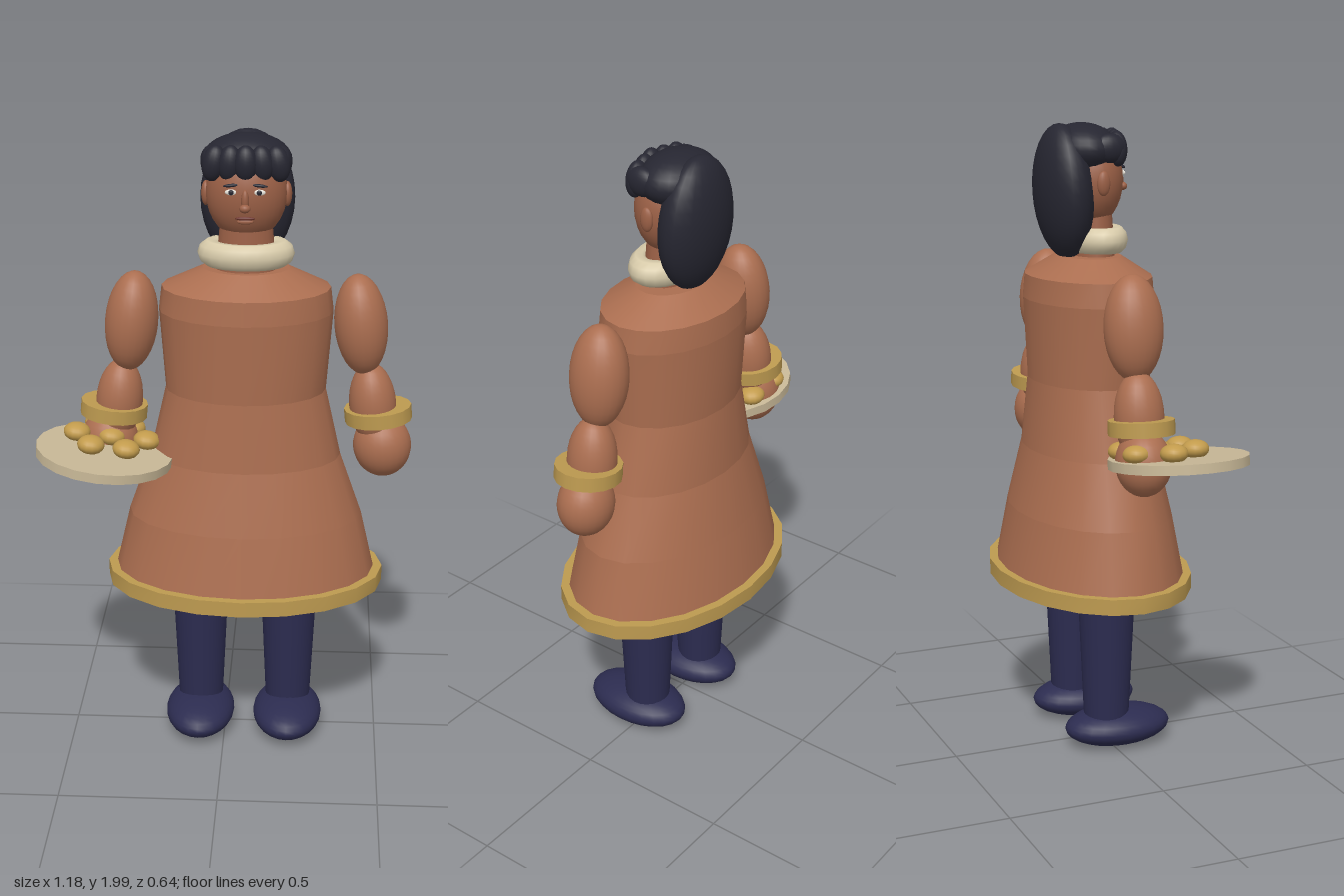
import * as THREE from 'three';

const mat = (name, color, side = THREE.FrontSide) => {
  const m = new THREE.MeshStandardMaterial({ color, side });
  m.name = name;
  return m;
};

export function createModel() {
  const clay = mat('clay brown', 0xab6e50);
  const skin = mat('face skin', 0x9b6046);
  const gold = mat('gold trim', 0xbd9a50);
  const navy = mat('navy cloth', 0x2c2c50);
  const black = mat('black hair', 0x262631);
  const cream = mat('cream collar', 0xd9ccab);
  const platter = mat('platter beige', 0xc8b897);
  const bun = mat('bun gold', 0xc29b4c);
  const white = mat('eye white', 0xe8e4da);
  const lip = mat('lip red', 0x6e342c);

  const CX = 0.063, CZ = -0.015;
  const model = new THREE.Group();
  model.name = 'figure';

  const add = (name, geo, material, pos, parent = model) => {
    const m = new THREE.Mesh(geo, material);
    m.name = name;
    m.position.set(...pos);
    parent.add(m);
    return m;
  };
  const ball = (name, material, pos, r, tilt = 0, parent = model, seg = 24) => {
    const m = add(name, new THREE.SphereGeometry(1, seg, 16), material, pos, parent);
    m.scale.set(...r);
    m.rotation.z = tilt;
    return m;
  };

  // Robe: oval bands, smooth around with a crease between them [y, rx, rz]
  const robe = new THREE.Group();
  robe.name = 'robe';
  robe.position.set(CX, 0, CZ);
  model.add(robe);
  const rings = [
    [0.545, 0.428, 0.287], [0.78, 0.373, 0.243], [0.98, 0.302, 0.2], [1.2, 0.252, 0.184],
    [1.455, 0.271, 0.196], [1.53, 0.262, 0.19], [1.59, 0.135, 0.1],
  ];
  const oval = (lo, hi, open) => {
    const g = new THREE.CylinderGeometry(1, 1, hi[0] - lo[0], 20, 1, open);
    const p = g.attributes.position;
    for (let i = 0; i < p.count; i++) {
      const r = p.getY(i) > 0 ? hi : lo;
      p.setXYZ(i, p.getX(i) * r[1], p.getY(i) + (lo[0] + hi[0]) / 2, p.getZ(i) * r[2]);
    }
    g.computeVertexNormals();
    return g;
  };
  for (let i = 0; i < rings.length - 1; i++) {
    const capped = i === 0 || i === rings.length - 2;
    add('robeBand' + (i + 1), oval(rings[i], rings[i + 1], !capped), clay, [0, 0, 0], robe);
  }
  // Hem trim, with a rim on top and a floor just above its lower edge
  add('hemTrim', oval([0.54, 0.446, 0.305], [0.59, 0.446, 0.305], true), gold, [0, 0, 0], robe);
  const rimShape = new THREE.Shape();
  const hole = new THREE.Path();
  for (let i = 0; i <= 20; i++) {
    const a = i / 20 * Math.PI * 2 + Math.PI / 2, s = Math.sin(a), c = Math.cos(a);
    rimShape[i ? 'lineTo' : 'moveTo'](c * 0.446, s * 0.305);
    hole[i ? 'lineTo' : 'moveTo'](c * 0.414, s * 0.274);
  }
  rimShape.holes.push(hole);
  add('hemTrimTop', new THREE.ShapeGeometry(rimShape), gold, [0, 0.59, 0], robe).rotation.x = -Math.PI / 2;
  add('robeFloor', oval([0.541, 0.444, 0.303], [0.546, 0.444, 0.303], false), clay, [0, 0, 0], robe);

  // Legs and shoes
  for (const s of [-1, 1]) {
    const side = s > 0 ? 'left' : 'right', x = CX + s * 0.145;
    add(side + 'Leg', new THREE.CylinderGeometry(0.094, 0.073, 0.46, 20), navy, [x, 0.34, -0.012]);
    ball(side + 'Shoe', navy, [x, 0.069, 0.027], [0.113, 0.062, 0.177]);
  }

  // Arms, hands and bracelets
  for (const s of [-1, 1]) {
    const arm = new THREE.Group();
    arm.name = s > 0 ? 'leftArm' : 'rightArm';
    arm.position.set(CX, 0, CZ);
    model.add(arm);
    ball('upperArm', clay, [s * 0.357, 1.41, 0], [0.083, 0.161, 0.092], s * 0.1, arm);
    ball('forearm', clay, [s * 0.4, 1.15, 0], [0.074, 0.135, 0.077], s * 0.1, arm);
    ball('hand', clay, [s * 0.434, 1.012, 0], [0.092, 0.102, 0.085], s * 0.1, arm);
    const b = add('bracelet', new THREE.CylinderGeometry(0.106, 0.106, 0.045, 16), gold, [s * 0.418, 1.12, 0], arm);
    b.scale.z = 0.95;
    b.rotation.z = s * 0.1;
  }

  // Tilted tray with a ring of buns around one in the middle
  const tray = new THREE.Group();
  tray.name = 'tray';
  tray.position.set(-0.376, 1.01, 0.1);
  tray.rotation.z = -0.115;
  model.add(tray);
  add('plate', new THREE.CylinderGeometry(0.216, 0.216, 0.03, 20), platter, [0, 0, 0], tray);
  for (let i = 0; i < 7; i++) {
    const r = i ? 0.111 : 0, a = i * Math.PI / 3;
    ball('bun' + (i + 1), bun, [0.014 + r * Math.cos(a), 0.037, -0.06 + r * Math.sin(a)],
      [0.043, 0.029, 0.043], 0, tray, 14);
  }

  // Neck and collar
  add('neck', new THREE.CylinderGeometry(0.08, 0.095, 0.17, 20), skin, [CX, 1.65, 0]).scale.z = 0.72;
  const collar = add('collar', new THREE.TorusGeometry(0.108, 0.041, 10, 24).rotateX(Math.PI / 2), cream, [CX, 1.641, 0.005]);
  collar.scale.z = 0.66;

  // Head
  const head = new THREE.Group();
  head.name = 'head';
  head.position.set(CX, 1.825, -0.008);
  model.add(head);
  ball('face', skin, [0, 0, 0], [0.124, 0.147, 0.1], 0, head, 32);
  const faceZ = (x, y) => 0.1 * Math.sqrt(1 - (x / 0.124) ** 2 - (y / 0.147) ** 2);
  ball('noseBridge', skin, [0, -0.005, 0.1], [0.012, 0.034, 0.014], 0, head, 12);
  ball('noseTip', skin, [0, -0.025, 0.112], [0.017, 0.013, 0.014], 0, head, 12);
  ball('upperLip', lip, [0, -0.06, faceZ(0, -0.06)], [0.03, 0.006, 0.006], 0, head, 12);
  ball('lowerLip', skin, [0, -0.071, faceZ(0, -0.071)], [0.025, 0.008, 0.006], 0, head, 12);
  for (const s of [-1, 1]) {
    const side = s > 0 ? 'left' : 'right', x = s * 0.042;
    ball(side + 'Eye', white, [x, 0.02, faceZ(x, 0.02)], [0.019, 0.009, 0.005], 0, head, 12);
    ball(side + 'Pupil', black, [x, 0.02, faceZ(x, 0.02) + 0.004], [0.008, 0.008, 0.004], 0, head, 12);
    ball(side + 'Brow', black, [x, 0.04, faceZ(x, 0.04)], [0.025, 0.005, 0.006], -s * 0.1, head, 12);
    ball(side + 'Ear', skin, [s * 0.124, -0.005, -0.005], [0.014, 0.038, 0.022], 0, head, 12);
  }

  // Hair: long back mass, crown and a fringe of locks
  ball('backHair', black, [CX, 1.79, -0.097], [0.146, 0.209, 0.086]).rotation.x = -0.06;
  ball('crownHair', black, [CX, 1.92, -0.035], [0.137, 0.08, 0.108]);
  for (let i = -2; i <= 2; i++) {
    const k = Math.abs(i);
    ball('fringeLock' + (i + 3), black, [CX + i * 0.048, 1.927 - k * 0.002, 0.066 - k * 0.011],
      [0.036, 0.055, 0.03], i * 0.1, model, 16);
  }
  for (const s of [-1, 1]) {
    ball(s > 0 ? 'leftTempleHair' : 'rightTempleHair', black, [CX + s * 0.108, 1.925, 0.015], [0.03, 0.045, 0.055], 0, model, 16);
  }
  return model;
}
